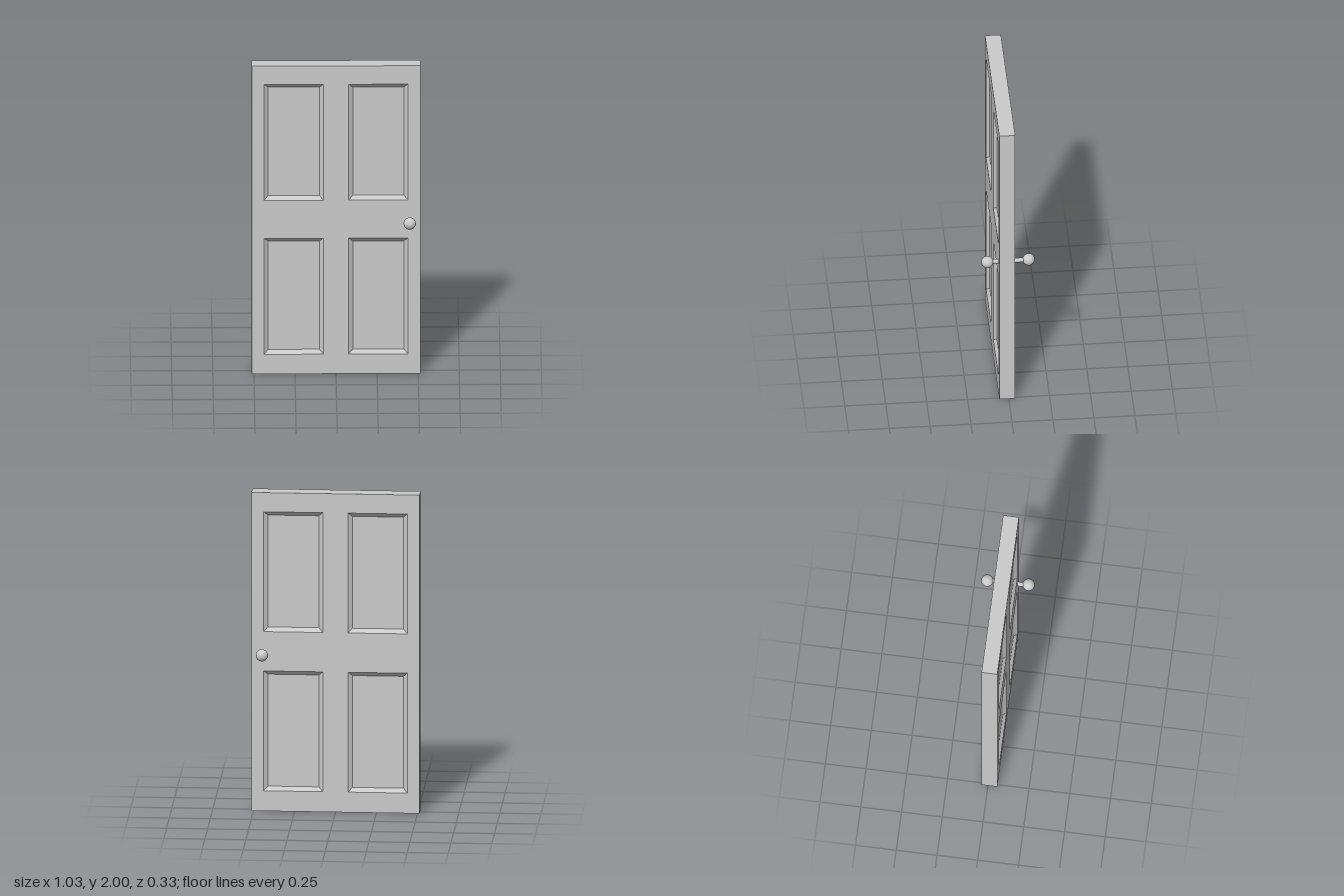
import * as THREE from 'three';
import { mergeGeometries } from 'three/addons/utils/BufferGeometryUtils.js';

const material = new THREE.MeshStandardMaterial({ color: 0xcccccc });
const HALF_THICK = 0.0485, BEVEL = 0.025, DEPTH = 0.02;

// Counter-clockwise corners of a rectangle, seen from the front
const rect = (x0, y0, x1, y1) => [[x0, y0], [x1, y0], [x1, y1], [x0, y1]];

// Flat-shaded walls joining rectangle a at depth za to rectangle b at depth zb
function walls(a, za, b, zb) {
  const pos = [];
  for (let i = 0; i < 4; i++) {
    const j = (i + 1) % 4;
    const p = [...a[i], za], q = [...a[j], za], r = [...b[j], zb], s = [...b[i], zb];
    pos.push(...p, ...q, ...r, ...p, ...r, ...s);
  }
  const geometry = new THREE.BufferGeometry();
  geometry.setAttribute('position', new THREE.Float32BufferAttribute(pos, 3));
  geometry.computeVertexNormals();
  return geometry;
}

// Flat face with optional rectangular holes
function face(corners, z, holes = []) {
  const toVectors = (list) => list.map(([x, y]) => new THREE.Vector2(x, y));
  const shape = new THREE.Shape(toVectors(corners));
  holes.forEach((h) => shape.holes.push(new THREE.Path(toVectors(h))));
  const geometry = new THREE.ShapeGeometry(shape).translate(0, 0, z).toNonIndexed();
  geometry.deleteAttribute('uv');
  return geometry;
}

function addMesh(parent, name, geometry) {
  const mesh = new THREE.Mesh(geometry, material);
  mesh.name = name;
  parent.add(mesh);
  return mesh;
}

export function createModel() {
  const model = new THREE.Group();
  model.name = 'panelDoor';

  const door = new THREE.Group();
  door.name = 'door';
  door.position.z = 0.0085;
  model.add(door);

  const outline = rect(-0.513, 0, 0.513, 2);
  const openings = [];
  for (const x of [-0.438, 0.077]) {
    for (const y of [0.127, 1.127]) openings.push([x, y, x + 0.361, y + 0.753]);
  }

  // Outer edges of the slab
  addMesh(door, 'doorEdges', walls(outline, -HALF_THICK, outline, HALF_THICK));

  // Front and back sides, each with four bevelled recesses
  for (const side of ['front', 'back']) {
    const group = new THREE.Group();
    group.name = side + 'Side';
    if (side === 'back') group.rotation.y = Math.PI;
    door.add(group);

    addMesh(group, side + 'Frame', face(outline, HALF_THICK, openings.map((o) => rect(...o))));
    for (const [x0, y0, x1, y1] of openings) {
      const inner = rect(x0 + BEVEL, y0 + BEVEL, x1 - BEVEL, y1 - BEVEL);
      addMesh(group, side + 'RecessedPanel', mergeGeometries([
        walls(rect(x0, y0, x1, y1), HALF_THICK, inner, HALF_THICK - DEPTH),
        face(inner, HALF_THICK - DEPTH),
      ]));
    }
  }

  // Round knobs on short stems
  for (const [side, x, z, sign] of [['front', 0.448, 0.125, 1], ['back', 0.443, -0.128, -1]]) {
    const knob = new THREE.Group();
    knob.name = side + 'Knob';
    knob.position.set(x, 1, z);
    model.add(knob);
    addMesh(knob, side + 'KnobBall', new THREE.SphereGeometry(0.037, 32, 20));
    const stem = addMesh(knob, side + 'KnobStem',
      new THREE.CylinderGeometry(0.0138, 0.0138, 0.11, 24).rotateX(Math.PI / 2));
    stem.position.set(0.445 - x, 0, -sign * 0.055);
  }

  return model;
}
